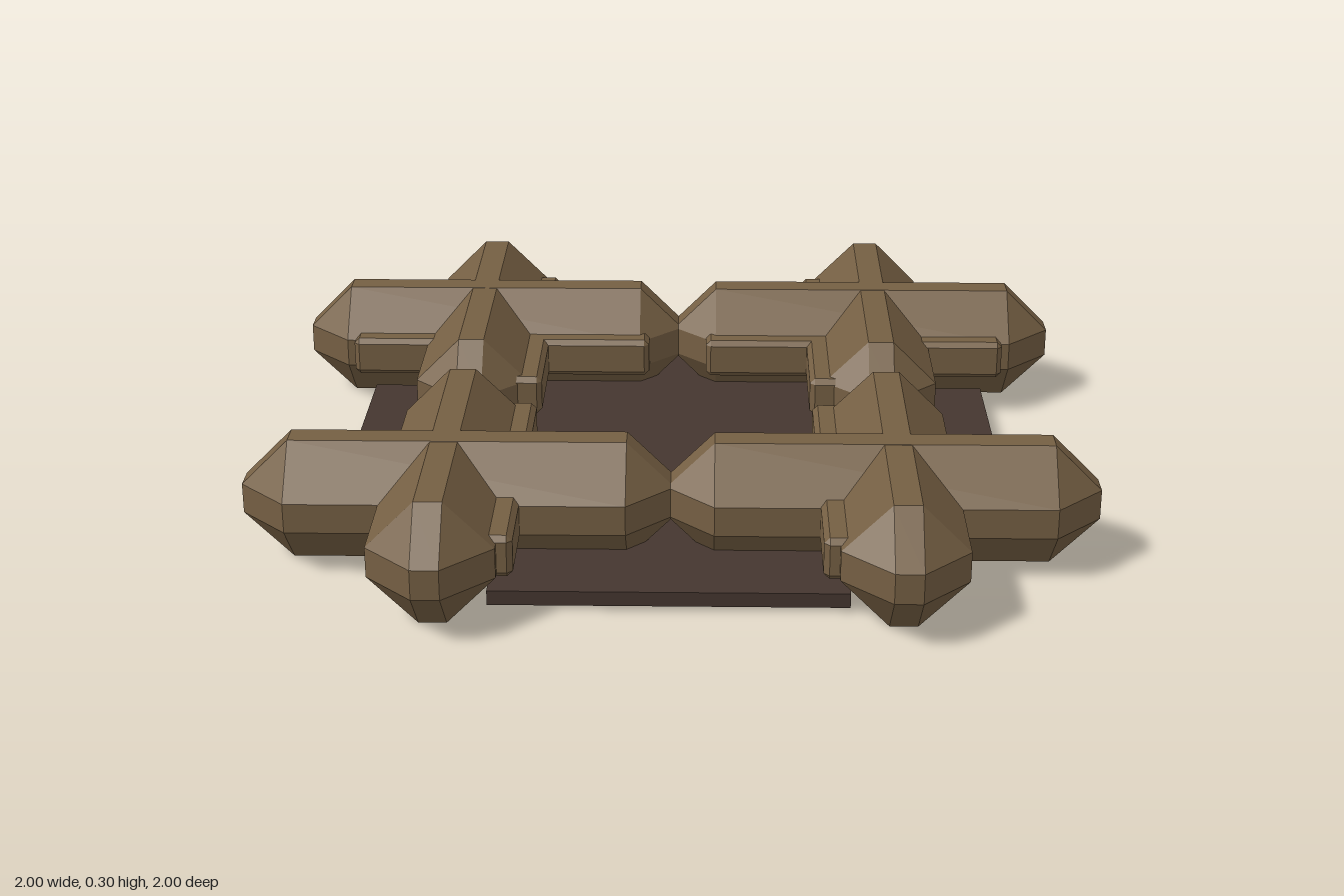
import * as THREE from 'three';
import { ConvexGeometry } from 'three/addons/geometries/ConvexGeometry.js';

// Bar along x with every edge and corner cut off by the same bevel
function beveledBar(length, height, width, bevel) {
  const [l, h, w] = [length / 2, height / 2, width / 2];
  const points = [];
  for (const sx of [-1, 1]) for (const sy of [-1, 1]) for (const sz of [-1, 1]) {
    points.push(
      new THREE.Vector3(sx * l, sy * (h - bevel), sz * (w - bevel)),
      new THREE.Vector3(sx * (l - bevel), sy * h, sz * (w - bevel)),
      new THREE.Vector3(sx * (l - bevel), sy * (h - bevel), sz * w)
    );
  }
  return new ConvexGeometry(points);
}

export function createModel() {
  const model = new THREE.Group();
  model.name = 'crossedBeamFrame';

  const wood = new THREE.MeshStandardMaterial({ color: 0x755f43, flatShading: true });
  wood.name = 'brown wood';
  const dark = new THREE.MeshStandardMaterial({ color: 0x45362f, flatShading: true });
  dark.name = 'dark brown base';

  const beamGeometry = beveledBar(1.01, 0.296, 0.288, 0.112);
  const railGeometry = beveledBar(0.79, 0.1, 0.08, 0.013);

  // Adds a bar along x, or along z with its two coordinates swapped
  const addBar = (parent, name, geometry, along, y, across, alongZ) => {
    const bar = new THREE.Mesh(geometry, wood);
    bar.name = name;
    bar.position.set(alongZ ? across : along, y, alongZ ? along : across);
    if (alongZ) bar.rotation.y = Math.PI / 2;
    parent.add(bar);
  };

  // Four corner crosses, each with a rail on the inner side of both beams
  for (const sx of [-1, 1]) for (const sz of [-1, 1]) {
    const cross = new THREE.Group();
    cross.name = (sz > 0 ? 'front' : 'back') + (sx > 0 ? 'Left' : 'Right') + 'Cross';
    addBar(cross, 'sideBeam', beamGeometry, sx * 0.495, 0.149, sz * 0.525, false);
    addBar(cross, 'depthBeam', beamGeometry, sz * 0.495, 0.148, sx * 0.525, true);
    addBar(cross, 'sideRail', railGeometry, sx * 0.471, 0.15, sz * 0.385, false);
    addBar(cross, 'depthRail', railGeometry, sz * 0.471, 0.15, sx * 0.385, true);
    model.add(cross);
  }

  // Plus-shaped base plate
  const a = 0.82, b = 0.41;
  const outline = [[b, a], [-b, a], [-b, b], [-a, b], [-a, -b], [-b, -b],
    [-b, -a], [b, -a], [b, -b], [a, -b], [a, b], [b, b]];
  const shape = new THREE.Shape(outline.map(([x, y]) => new THREE.Vector2(x, y)));
  const plateGeometry = new THREE.ExtrudeGeometry(shape, { depth: 0.035, bevelEnabled: false });
  plateGeometry.rotateX(-Math.PI / 2);
  const plate = new THREE.Mesh(plateGeometry, dark);
  plate.name = 'basePlate';
  plate.position.y = 0.01;
  model.add(plate);

  return model;
}
